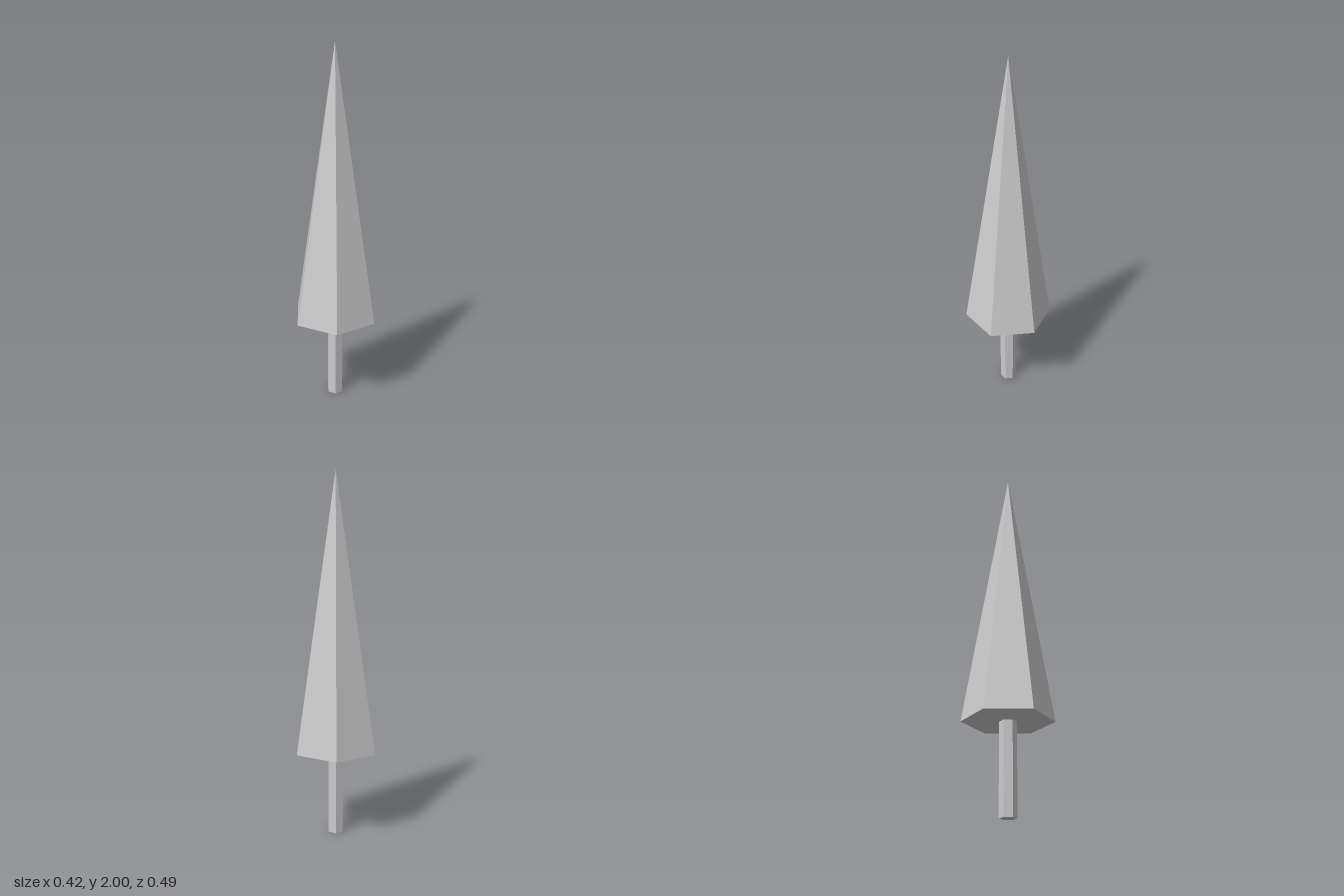
import * as THREE from 'three';

const SIDES = 6;
const FOLIAGE_BASE = 0.488;
const HEIGHT = 2;

export function createModel() {
  const tree = new THREE.Group();
  tree.name = 'tree';
  const material = new THREE.MeshStandardMaterial({ color: 0xcccccc, flatShading: true });

  // Hexagonal trunk, standing on the ground and meeting the foliage
  const trunk = new THREE.Mesh(
    new THREE.CylinderGeometry(0.046, 0.046, FOLIAGE_BASE, SIDES), material);
  trunk.name = 'trunk';
  trunk.position.y = FOLIAGE_BASE / 2;

  // Tall six-sided foliage cone with a closed underside
  const foliageHeight = HEIGHT - FOLIAGE_BASE;
  const foliage = new THREE.Mesh(
    new THREE.ConeGeometry(0.245, foliageHeight, SIDES), material);
  foliage.name = 'foliage';
  foliage.position.y = FOLIAGE_BASE + foliageHeight / 2;

  tree.add(trunk, foliage);
  return tree;
}
